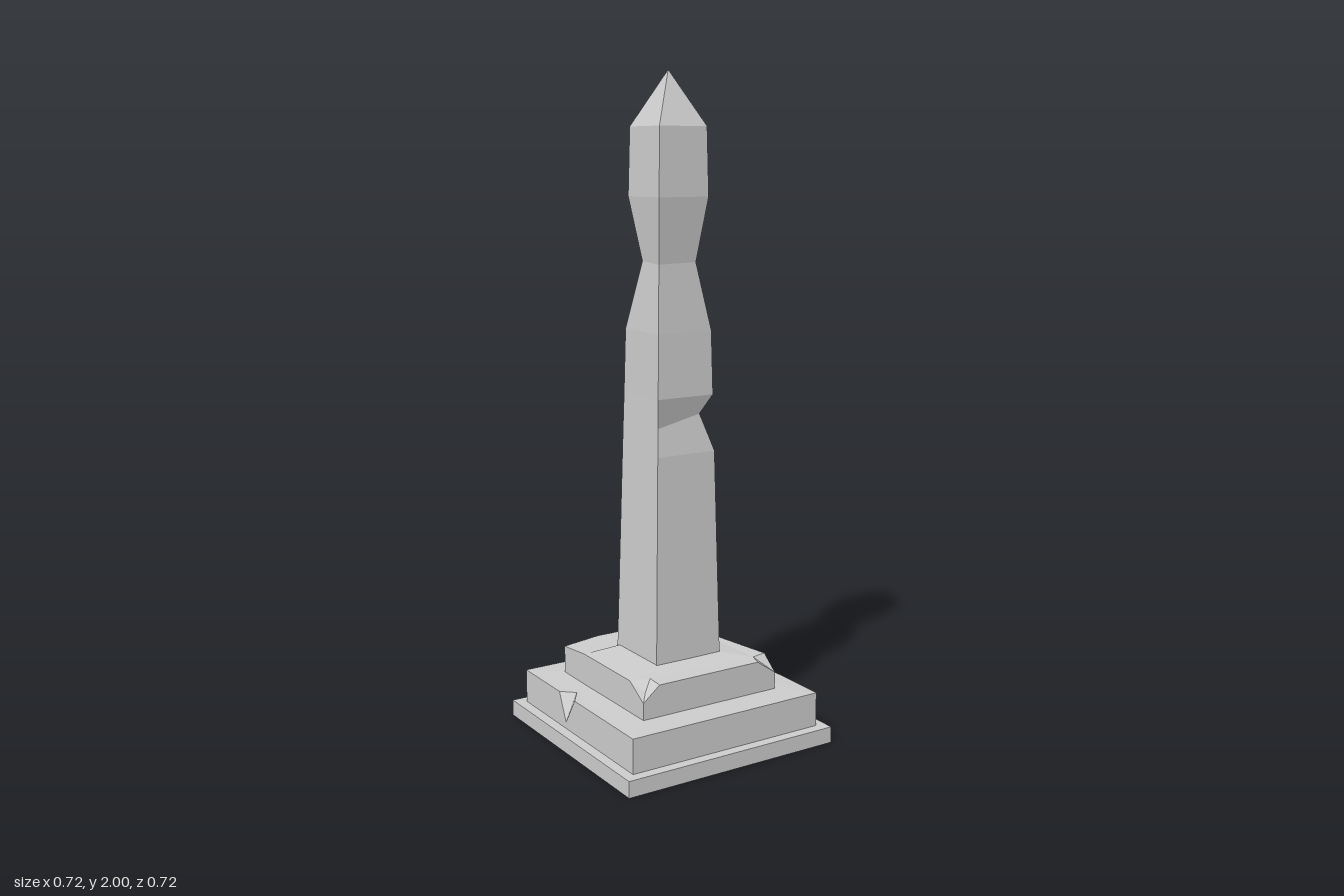
import * as THREE from 'three';

const material = new THREE.MeshStandardMaterial({ color: 0xcccccc, side: THREE.DoubleSide });
const V = (x, y, z) => new THREE.Vector3(x, y, z);

// Collects faceted quads and triangles, one normal per face
class Facets {
  positions = [];
  normals = [];
  face(a, b, c, d = c) {
    const n = c.clone().sub(a).cross(d.clone().sub(b)).normalize();
    if (n.lengthSq() === 0) return;
    for (const t of [[a, b, c], [a, c, d]]) {
      if (new THREE.Triangle(...t).getArea() < 1e-7) continue;
      for (const p of t) {
        this.positions.push(p.x, p.y, p.z);
        this.normals.push(n.x, n.y, n.z);
      }
    }
  }
  // Skins a closed loop of columns, each listing its points from bottom to top
  wall(columns) {
    columns.forEach((a, i) => {
      const b = columns[(i + 1) % columns.length];
      for (let k = 0; k < a.length - 1; k++) this.face(a[k], b[k], b[k + 1], a[k + 1]);
    });
  }
  // Fills between an outline and an inner square
  cap(outline, inner) {
    const flat = (list) => list.map((p) => new THREE.Vector2(p.x, -p.z));
    const all = [...outline, ...inner];
    for (const [i, j, k] of THREE.ShapeUtils.triangulateShape(flat(outline), [flat(inner).reverse()])) {
      const hole = [...inner].reverse();
      const at = (n) => (n < outline.length ? all[n] : hole[n - outline.length]);
      const [a, b, c] = [at(i), at(j), at(k)];
      const up = b.clone().sub(a).cross(c.clone().sub(a)).y > 0;
      if (up) this.face(a, b, c);
      else this.face(a, c, b);
    }
  }
  mesh(name) {
    const g = new THREE.BufferGeometry();
    g.setAttribute('position', new THREE.Float32BufferAttribute(this.positions, 3));
    g.setAttribute('normal', new THREE.Float32BufferAttribute(this.normals, 3));
    const m = new THREE.Mesh(g, material);
    m.name = name;
    return m;
  }
}

// Corners counterclockwise from above, starting front left
const square = (h, y) => [V(-h, y, h), V(h, y, h), V(h, y, -h), V(-h, y, -h)];

// One worn step: columns run bottom, rim, middle of the chip, cap
function step(name, columns, innerHalf, innerY) {
  const f = new Facets();
  f.wall(columns);
  f.cap(columns.map((c) => c[3]), square(innerHalf, innerY));
  return f.mesh(name);
}

// Column makers for a step between y0 and y1
const columnsFor = (y0, y1) => ({
  plain: (x, z, top = y1) => [V(x, y0, z), V(x, top, z), V(x, top, z), V(x, top, z)],
  chip: (x, z, rimY, cx, cz, mid) => [
    V(x, y0, z), V(x, rimY, z),
    mid ? V(...mid) : V((x + cx) / 2, (rimY + y1) / 2, (z + cz) / 2),
    V(cx, y1, cz),
  ],
  broken: (x, z, tx, tz) => [V(x, y0, z), V(tx, y1, tz), V(tx, y1, tz), V(tx, y1, tz)],
});

function lowerStep() {
  const s = 0.325;
  const { plain, chip } = columnsFor(0.05, 0.155);
  return step('lowerStep', [
    plain(-s, s), plain(s, s),
    // chipped back corner
    plain(s, -0.27), chip(s, -s, 0.06, 0.255, -0.255, [0.31, 0.125, -0.31]), plain(0.275, -s),
    plain(-s, -s),
    // notch in the side edge
    plain(-s, -0.105), chip(-s, -0.065, 0.07, -0.285, -0.068), plain(-s, -0.01),
  ], 0.15, 0.162);
}

function upperStep() {
  const h = 0.235;
  const { plain, chip, broken } = columnsFor(0.15, 0.255);
  return step('upperStep', [
    // chipped front corners
    plain(-h, 0.16), chip(-h, h, 0.21, -0.175, 0.175, [-0.21, 0.228, 0.205]), plain(-0.18, h),
    plain(0.17, h), chip(h, h, 0.21, 0.185, 0.19), plain(h, 0.18),
    // broken away side
    broken(h, -0.07, 0.19, -0.09), broken(0.2, -0.15, 0.17, -0.155), plain(h, -h),
    // worn back corner
    plain(-0.115, -h), plain(-h, -h, 0.243), plain(-h, -0.11),
  ], 0.1, 0.265);
}

// Tapering shaft with two dented corners and a pyramid tip
function shaft() {
  const levels = [[0.25, 0.114], [0.89, 0.1], [0.975, 0.098], [1.06, 0.096],
    [1.25, 0.092], [1.45, 0.088], [1.64, 0.085], [1.84, 0.081]];
  const rings = levels.map(([y, h]) => square(h, y));
  rings[2][1].set(0.069, 1.0, 0.065);
  rings[5][1].set(0.061, 1.45, 0.055);
  rings[5][3].set(-0.052, 1.45, -0.06);
  const f = new Facets();
  f.wall([0, 1, 2, 3].map((i) => [...rings.map((r) => r[i]), V(0, 2, 0)]));
  return f.mesh('shaft');
}

export function createModel() {
  const group = new THREE.Group();
  group.name = 'obelisk';
  const base = new THREE.Mesh(new THREE.BoxGeometry(0.716, 0.05, 0.716), material);
  base.name = 'baseSlab';
  base.position.y = 0.025;
  group.add(base, lowerStep(), upperStep(), shaft());
  return group;
}
